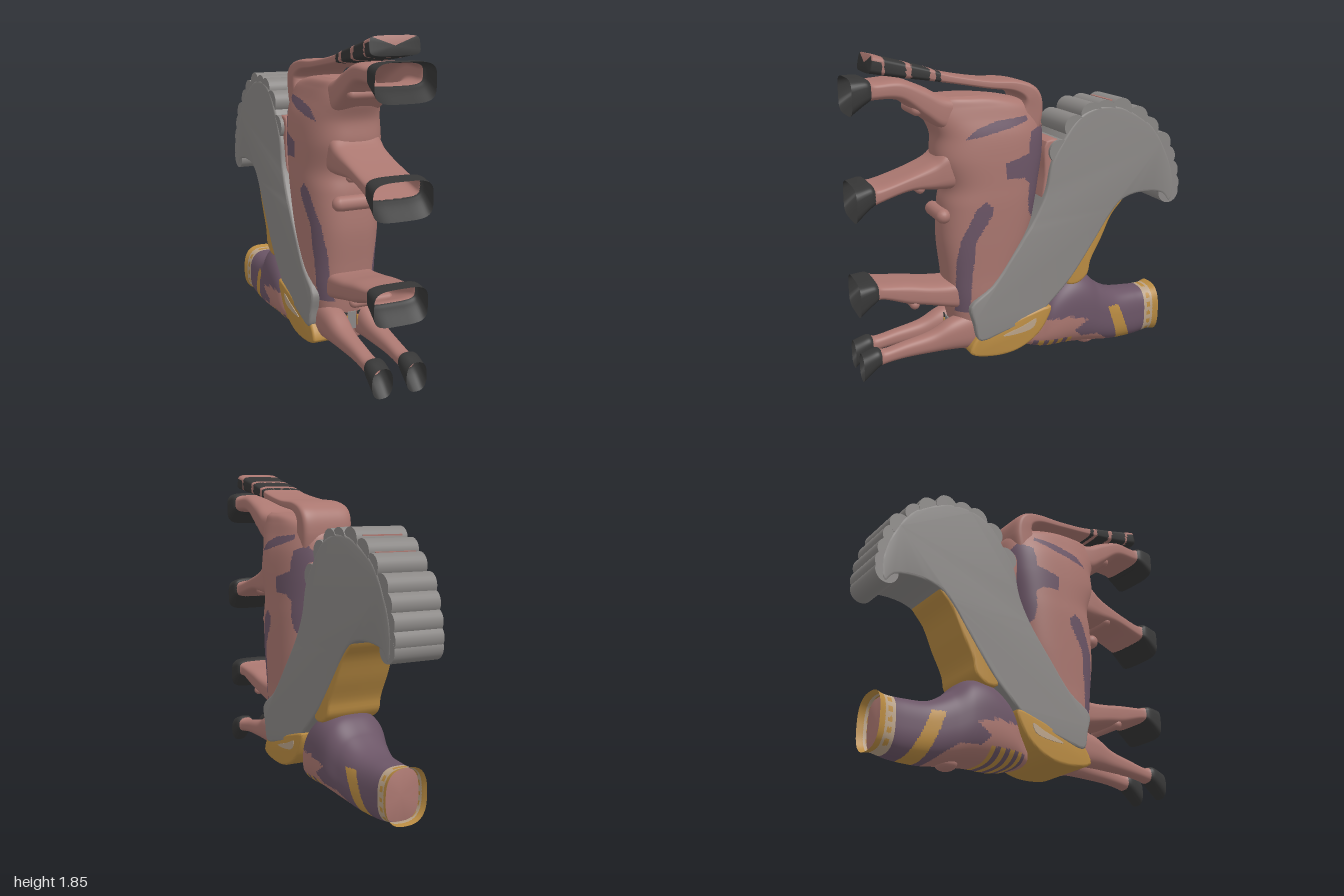
import * as THREE from 'three';
import { toCreasedNormals } from 'three/addons/utils/BufferGeometryUtils.js';

const mat = (name, color) => {
  const m = new THREE.MeshStandardMaterial({ color, side: THREE.DoubleSide });
  m.name = name;
  return m;
};

// Is side-view point (u, y) inside a polygon? u is -z.
function inside(poly, u, y) {
  let hit = false;
  for (let i = 0, j = poly.length - 1; i < poly.length; j = i++) {
    const [a, b] = poly[i], [c, d] = poly[j];
    if ((b > y) !== (d > y) && u < ((c - a) * (y - b)) / (d - b) + a) hit = !hit;
  }
  return hit;
}

// Rounded cross-sections [z, y, halfThickness, halfWidth] joined along a smooth path.
function loft(rows, { axis = null, steps = 40, sides = 48, power = 3, caps = true } = {}) {
  const path = new THREE.CatmullRomCurve3(rows.map(r => new THREE.Vector3(0, r[1], r[0])), false, 'catmullrom');
  const size = new THREE.CatmullRomCurve3(rows.map(r => new THREE.Vector3(r[2], r[3], 0)), false, 'catmullrom');
  const pos = [], idx = [];
  const soft = v => Math.sign(v) * Math.pow(Math.abs(v), 2 / power);
  for (let i = 0; i <= steps; i++) {
    const t = i / steps, p = path.getPoint(t), s = size.getPoint(t);
    const d = axis || path.getTangent(t);
    for (let j = 0; j < sides; j++) {
      const a = (j / sides) * Math.PI * 2, n = s.x * soft(Math.sin(a));
      pos.push(s.y * soft(Math.cos(a)), p.y + n * d.z, p.z - n * d.y);
      if (i < steps) {
        const k = i * sides + j, l = i * sides + (j + 1) % sides;
        idx.push(k, l, l + sides, k, l + sides, k + sides);
      }
    }
  }
  if (caps) {
    for (const [t, base] of [[0, 0], [1, steps * sides]]) {
      const c = path.getPoint(t), m = pos.length / 3;
      pos.push(0, c.y, c.z);
      for (let j = 0; j < sides; j++) {
        const a = base + j, b = base + (j + 1) % sides;
        idx.push(m, t ? a : b, t ? b : a);
      }
    }
  }
  const g = new THREE.BufferGeometry();
  g.setAttribute('position', new THREE.Float32BufferAttribute(pos, 3));
  g.setIndex(idx);
  g.computeVertexNormals();
  return g;
}

// Sort triangles into material groups by rule(u, y, x), which returns a material number.
function paint(g, count, rule) {
  const p = g.attributes.position, old = g.index.array;
  const bins = Array.from({ length: count }, () => []);
  for (let i = 0; i < old.length; i += 3) {
    const f = [old[i], old[i + 1], old[i + 2]];
    const mid = k => f.reduce((s, v) => s + p[k](v), 0) / 3;
    bins[rule(-mid('getZ'), mid('getY'), mid('getX'))].push(...f);
  }
  let start = 0;
  bins.forEach((b, i) => { g.addGroup(start, b.length, i); start += b.length; });
  g.setIndex(bins.flat());
  return g;
}

// Side outline (u, y) extruded across x; halfWidth(u, y) may vary.
function slab(points, halfWidth, bevel = 0.014) {
  const curve = new THREE.CatmullRomCurve3(points.map(([u, y]) => new THREE.Vector3(u, y, 0)), true, 'centripetal');
  const shape = new THREE.Shape(curve.getPoints(points.length * 4).slice(0, -1).map(v => new THREE.Vector2(v.x, v.y)));
  const g = new THREE.ExtrudeGeometry(shape, {
    depth: 2 - 2 * bevel * 5, bevelEnabled: true, bevelThickness: bevel * 5, bevelSize: bevel, bevelOffset: -bevel, bevelSegments: 3,
  });
  g.translate(0, 0, -1 + bevel * 5);
  g.rotateY(Math.PI / 2);
  const p = g.attributes.position;
  for (let i = 0; i < p.count; i++) p.setX(i, p.getX(i) * halfWidth(-p.getZ(i), p.getY(i)));
  return toCreasedNormals(g, 0.6);
}

export function createModel() {
  const model = new THREE.Group();
  const pink = mat('dusty pink', 0xaa7770), grey = mat('mane grey', 0x8a8785), purple = mat('muted purple', 0x6b5566);
  const gold = mat('ochre', 0xb98b42), dark = mat('charcoal', 0x363636), tan = mat('pale tan', 0xb9a288);
  const add = (name, g, m) => {
    const mesh = new THREE.Mesh(g, m);
    mesh.name = name;
    model.add(mesh);
    return mesh;
  };
  const alongZ = new THREE.Vector3(0, 0, 1), alongY = new THREE.Vector3(0, 1, 0), backward = new THREE.Vector3(0, 0, -1);

  // Barrel body with purple side markings
  const marks = [
    [[-.40, 1.39], [-.33, 1.45], [-.2, 1.485], [-.03, 1.5], [-.02, 1.475], [-.14, 1.44], [-.3, 1.405]],
    [[-.17, 1.25], [-.03, 1.29], [-.01, 1.41], [.07, 1.44], [.15, 1.33], [.15, 1.1], [.06, .95], [.02, .9], [-.02, .95],
      [-.03, 1.04], [-.02, 1.12], [-.06, 1.155], [-.17, 1.16]],
    [[-.45, .39], [-.45, .69], [-.43, .82], [-.345, 1], [-.29, 1.04], [-.25, 1], [-.265, .945], [-.345, .82], [-.37, .58], [-.38, .39]],
  ];
  const bodyRows = [ // y, front z, back z, half width
    [.14, .41, .2, .13], [.3, .45, .15, .16], [.45, .47, .08, .185], [.6, .485, .05, .192], [.8, .505, -.02, .205],
    [1, .495, -.06, .215], [1.12, .48, -.08, .215], [1.27, .53, -.105, .215], [1.4, .53, -.11, .205],
    [1.5, .57, -.095, .18], [1.56, .56, -.04, .165], [1.6, .53, .1, .15], [1.62, .5, .25, .12],
  ].map(([y, f, b, w]) => [(f + b) / 2, y, (f - b) / 2, w]);
  add('body', paint(loft(bodyRows, { axis: alongY, steps: 220, sides: 128, power: 2.8 }), 2,
    (u, y, x) => (Math.abs(x) > .09 && marks.some(m => inside(m, u, y)) ? 1 : 0)), [pink, purple]);

  // Legs reach forward and end in open hooves: z, low y, high y, half width
  const leg = (name, rows, x = 0) => {
    const g = loft(rows.map(([z, lo, hi, w]) => [z, (lo + hi) / 2, (hi - lo) / 2, w]), { axis: alongZ, steps: 60, power: x ? 2.5 : 4, caps: false });
    paint(g, 2, u => (u < -.895 ? 1 : 0));
    add(name, g, [pink, dark]).position.x = x;
  };
  leg('topLeg', [[.38, 1.43, 1.61, .14], [.5, 1.44, 1.63, .15], [.6, 1.51, 1.68, .15], [.73, 1.61, 1.725, .15],
    [.87, 1.62, 1.72, .15], [.92, 1.6, 1.74, .165], [1, 1.54, 1.74, .17]]);
  leg('upperLeg', [[.35, 1.11, 1.36, .15], [.48, 1.105, 1.33, .155], [.56, 1.11, 1.27, .15], [.7, 1.115, 1.21, .145],
    [.87, 1.065, 1.16, .15], [.92, 1.04, 1.18, .165], [1, .965, 1.165, .17]]);
  leg('middleLeg', [[.35, .38, .57, .14], [.48, .41, .56, .14], [.6, .44, .57, .14], [.72, .465, .59, .135],
    [.87, .515, .605, .135], [.92, .495, .625, .15], [1, .425, .62, .155]]);
  for (const s of [-1, 1]) {
    leg(s > 0 ? 'lowerLeftLeg' : 'lowerRightLeg', [[.33, .15, .38, .07], [.48, .16, .34, .068], [.6, .16, .28, .055],
      [.75, .155, .245, .045], [.87, .14, .22, .045], [.92, .12, .235, .058], [1, .05, .21, .06]], s * .1);
  }

  // Joint nubs under the legs and on the belly
  for (const [z, y, r] of [[.64, 1.555, .03], [.635, 1.125, .028], [.685, .46, .028], [.505, .955, .042]]) {
    const g = new THREE.CapsuleGeometry(r, .2, 6, 14);
    g.rotateZ(Math.PI / 2);
    add('jointNub', g, pink).position.set(0, y, z);
  }

  // Tail with dark bands; the tip stays pink on top only
  const tailRows = [[.03, 1.4, .1, .15], [-.02, 1.52, .07, .155], [-.01, 1.61, .055, .16], [.08, 1.66, .035, .155], [.25, 1.68, .025, .15],
    [.45, 1.715, .025, .135], [.58, 1.745, .035, .13], [.75, 1.78, .045, .13], [.89, 1.81, .05, .14]];
  const bands = [[.51, .54], [.57, .67], [.7, .815], [.884, 1]];
  add('tail', paint(loft(tailRows, { steps: 120, power: 5 }), 2, (u, y) => {
    const underside = u < -.83 && y < 1.83 - (u + .89) * .21;
    return underside || bands.some(([a, b]) => -u > a && -u < b) ? 1 : 0;
  }), [pink, dark]);

  // Long neck and mane, narrowing toward the crest
  const maneWidth = (u, y) => .198 - .042 * u - .01 * y;
  add('neckAndMane', slab([[-.385, .43], [-.25, .54], [-.12, .71], [.02, .91], [.09, 1.06], [.125, 1.22], [.2, 1.35], [.3, 1.47],
    [.42, 1.52], [.58, 1.51], [.7, 1.45], [.8, 1.38], [.89, 1.24], [.94, 1.12], [.96, 1], [.95, .93], [.93, .91], [.88, .965], [.72, .985],
    [.6, .955], [.53, .89], [.4, .71], [.26, .52], [.13, .39], [.02, .3], [-.17, .25], [-.32, .215], [-.345, .23], [-.365, .32]],
  maneWidth), grey);
  add('maneRoot', slab([[.08, .95], [.09, 1.15], [.1, 1.34], [.19, 1.34], [.2, 1.2], [.14, .95]], () => .155), pink);

  // Scalloped crest
  const crest = [[.18, 1.28], [.275, 1.415], [.38, 1.48], [.47, 1.49], [.58, 1.495], [.69, 1.44], [.77, 1.37], [.86, 1.275],
    [.895, 1.19], [.92, 1.1], [.93, 1.02], [.925, .97]];
  for (const [u, y] of crest) {
    const g = new THREE.CylinderGeometry(.069, .069, 2 * maneWidth(u, y) - .006, 28);
    g.rotateZ(Math.PI / 2);
    add('crestRidge', g, grey).position.set(0, y, -u);
  }
  for (const [u, y] of [[.525, 1.548], [.64, 1.52], [.765, 1.439]]) {
    add('crestGroove', new THREE.BoxGeometry(.24, .008, .02), pink).position.set(0, y, -u);
  }

  // Ochre throat and chest with a pale patch
  add('throat', slab([[.61, .965], [.53, .87], [.46, .73], [.39, .6], [.37, .52], [.3, .47], [.23, .48], [.27, .62], [.4, .82], [.5, .94]],
    (u, y) => maneWidth(u, y) - .006), gold);
  add('chest', slab([[-.33, .25], [-.39, .15], [-.36, .125], [-.22, .105], [-.1, .12], [0, .17], [.07, .24], [.12, .36], [0, .34], [-.2, .28]],
    () => .2), gold);
  for (const s of [-1, 1]) {
    const g = slab([[-.19, .225], [-.06, .27], [.02, .3], [.0, .25], [-.1, .225]], () => .003, .002);
    add('chestPatch', g, tan).position.x = s * .201;
  }

  // Head lying along the ground, opening backward
  const headRows = [ // z, low y, high y, half width
    [.01, .09, .2, .11], [-.07, .07, .29, .165], [-.14, .06, .43, .195], [-.26, .06, .515, .203], [-.38, .05, .508, .195],
    [-.48, .035, .42, .165], [-.6, .02, .35, .14], [-.75, .022, .335, .122], [-.85, .04, .335, .118], [-.9, .035, .348, .128],
  ].map(([z, lo, hi, w]) => [z, (lo + hi) / 2, (hi - lo) / 2, w]);
  const cheek = [[-.05, 0], [-.05, .2], [.1, .27], [.25, .275], [.37, .24], [.28, .18], [.33, .13], [.45, .12], [.52, .07], [.6, 0]];
  const stripe = [[.53, .275], [.61, .275], [.66, .15], [.73, .0], [.63, .0]];
  add('head', paint(loft(headRows, { axis: backward, steps: 180, sides: 96, power: 2.7, caps: false }), 4, (u, y) => {
    if (u > .865 || inside(stripe, u, y)) return 2;
    if (u > .805) return u > .825 && u < .85 && y % .055 < .028 ? 2 : 3;
    if (u > .03 && u < .27 && y < .135) return u % .06 < .03 ? 2 : 0;
    return inside(cheek, u, y) ? 1 : 0;
  }), [purple, pink, gold, tan]);
  add('headOpening', loft([[-.82, .187, .14, .108], [-.85, .187, .14, .108]], { axis: backward, steps: 2 }), pink);
  const snout = add('snout', new THREE.SphereGeometry(.04, 20, 14), pink);
  snout.position.set(0, .048, -.44);
  snout.scale.set(1.6, 1, 1.5);

  // Small mask between the lower legs
  add('maskCentre', new THREE.BoxGeometry(.05, .1, .008), grey).position.set(0, .27, .465);
  for (const s of [-1, 1]) {
    const brow = add('maskBrow', new THREE.BoxGeometry(.05, .035, .008), dark);
    brow.position.set(s * .06, .31, .468);
    brow.rotation.z = s * .4;
    add('maskCheek', new THREE.BoxGeometry(.02, .06, .008), gold).position.set(s * .038, .27, .47);
  }
  return model;
}
